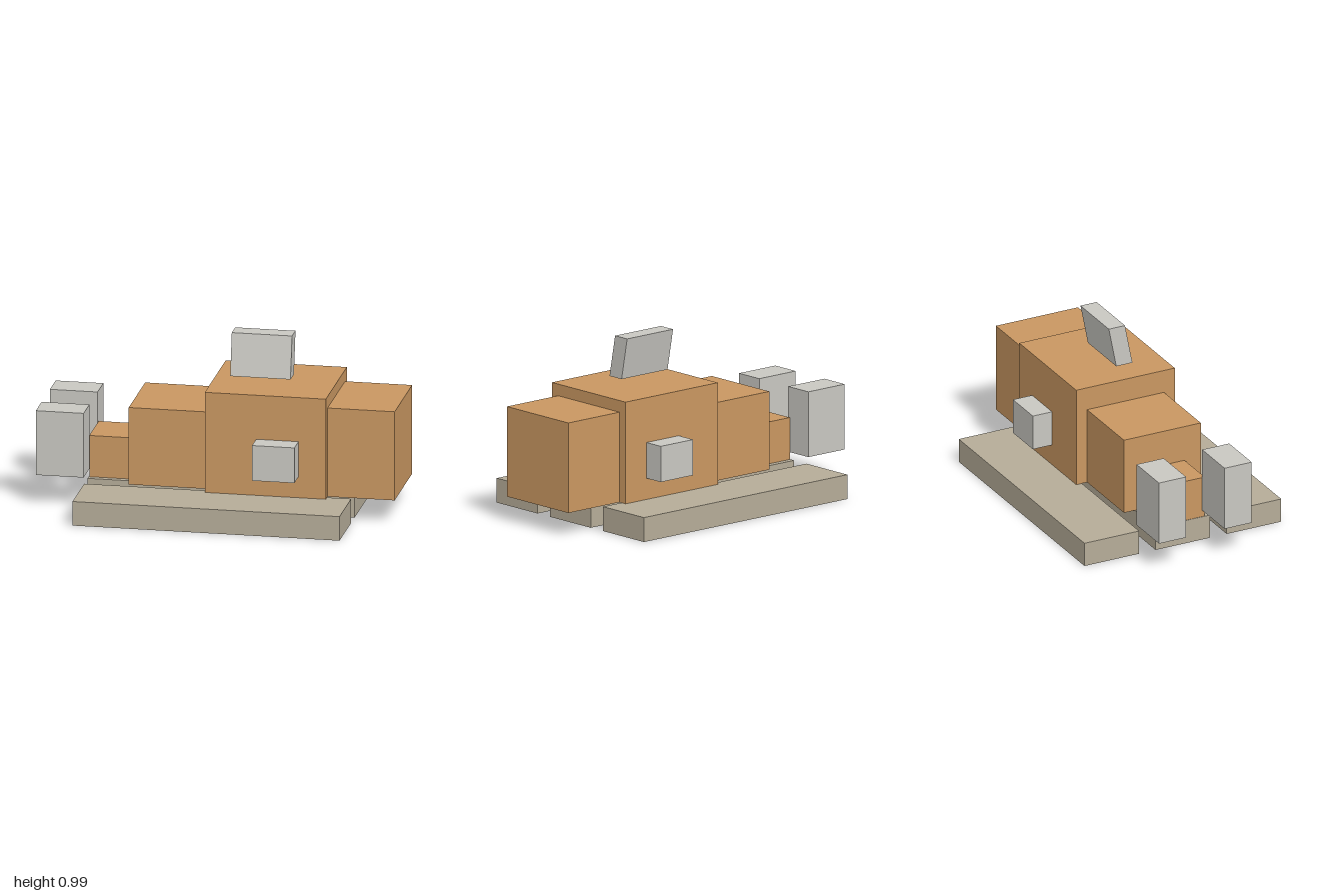
import * as THREE from 'three';

export function createModel() {
  const model = new THREE.Group();
  const material = (name, color) => {
    const m = new THREE.MeshStandardMaterial({ color });
    m.name = name;
    return m;
  };
  const orange = material('tan orange', 0xc99761);
  const taupe = material('taupe', 0xb5ac98);
  const grey = material('light grey', 0xc8c7c1);

  // Box given by its extents along each axis
  function block(name, mat, [x0, x1], [y0, y1], [z0, z1]) {
    const mesh = new THREE.Mesh(new THREE.BoxGeometry(x1 - x0, y1 - y0, z1 - z0), mat);
    mesh.position.set((x0 + x1) / 2, (y0 + y1) / 2, (z0 + z1) / 2);
    mesh.name = name;
    model.add(mesh);
    return mesh;
  }

  // Stepped body, from the narrow tail to the nose
  block('tail', orange, [-0.73, -0.49], [0.138, 0.375], [-0.137, 0.137]);
  block('rearBody', orange, [-0.49, -0.052], [0.138, 0.58], [-0.238, 0.238]);
  block('mainBody', orange, [-0.052, 0.625], [0.138, 0.713], [-0.305, 0.305]);
  block('nose', orange, [0.625, 1], [0.138, 0.647], [-0.254, 0.254]);

  // Three parallel base slabs
  for (const [name, z] of [['rightSlab', -0.44], ['middleSlab', 0], ['leftSlab', 0.44]]) {
    block(name, taupe, [-0.733, 0.76], [0, 0.138], [z - 0.169, z + 0.169]);
  }

  // Side pods and rear blocks, mirrored front to back
  for (const s of [-1, 1]) {
    const span = (a, b) => (s > 0 ? [a, b] : [-b, -a]);
    const side = s > 0 ? 'front' : 'back';
    block(side + 'Pod', grey, [0.235, 0.472], [0.258, 0.46], span(0.305, 0.424));
    block(side + 'TailBlock', grey, [-1, -0.733], [0.178, 0.547], span(0.119, 0.287));
  }

  // Floating top panel, sheared backwards
  const panel = block('topPanel', grey, [0.05, 0.387], [0.749, 0.985], [-0.05, 0.05]);
  const pos = panel.geometry.attributes.position;
  for (let i = 0; i < pos.count; i++) {
    if (pos.getY(i) < 0) pos.setZ(i, pos.getZ(i) + 0.046);
  }
  panel.geometry.computeVertexNormals();

  return model;
}
